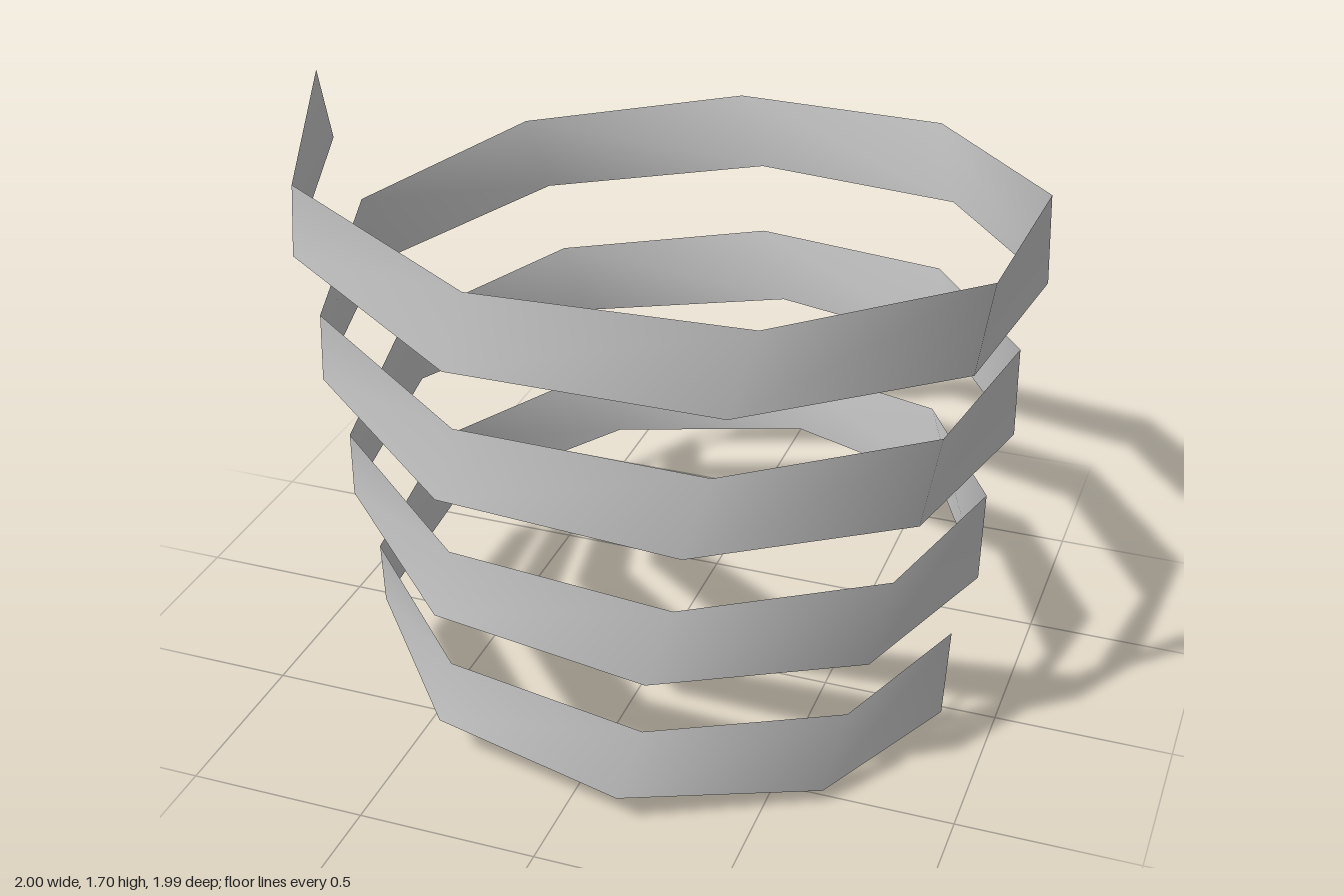
import * as THREE from 'three';

const SEGMENTS = 32;
const TURNS = 3.5;

// Point on the widening helix; side is -1 for the lower edge, +1 for the upper edge
function edgePoint(t, side) {
  const angle = t * TURNS * Math.PI * 2;
  const radius = THREE.MathUtils.lerp(0.818, 1.032, t);
  const lean = -0.035 * side; // edges slant back along the path
  return [
    0.032 + radius * Math.cos(angle) - lean * Math.sin(angle),
    0.1125 + 1.475 * t + 0.1125 * side,
    -0.011 + radius * Math.sin(angle) + lean * Math.cos(angle),
  ];
}

export function createModel() {
  const positions = [];
  const indices = [];
  for (let i = 0; i <= SEGMENTS; i++) {
    const t = i / SEGMENTS;
    positions.push(...edgePoint(t, -1), ...edgePoint(t, 1));
    if (i < SEGMENTS) {
      const a = i * 2; // lower, upper, next lower, next upper
      indices.push(a, a + 1, a + 2, a + 1, a + 3, a + 2);
    }
  }

  // Thin spiral band, seen from both sides
  const geometry = new THREE.BufferGeometry();
  geometry.setAttribute('position', new THREE.Float32BufferAttribute(positions, 3));
  geometry.setIndex(indices);
  geometry.computeVertexNormals();

  const material = new THREE.MeshStandardMaterial({ color: 0xcccccc, side: THREE.DoubleSide });
  const ribbon = new THREE.Mesh(geometry, material);
  ribbon.name = 'spiralRibbon';

  const group = new THREE.Group();
  group.name = 'spiral';
  group.add(ribbon);
  return group;
}
